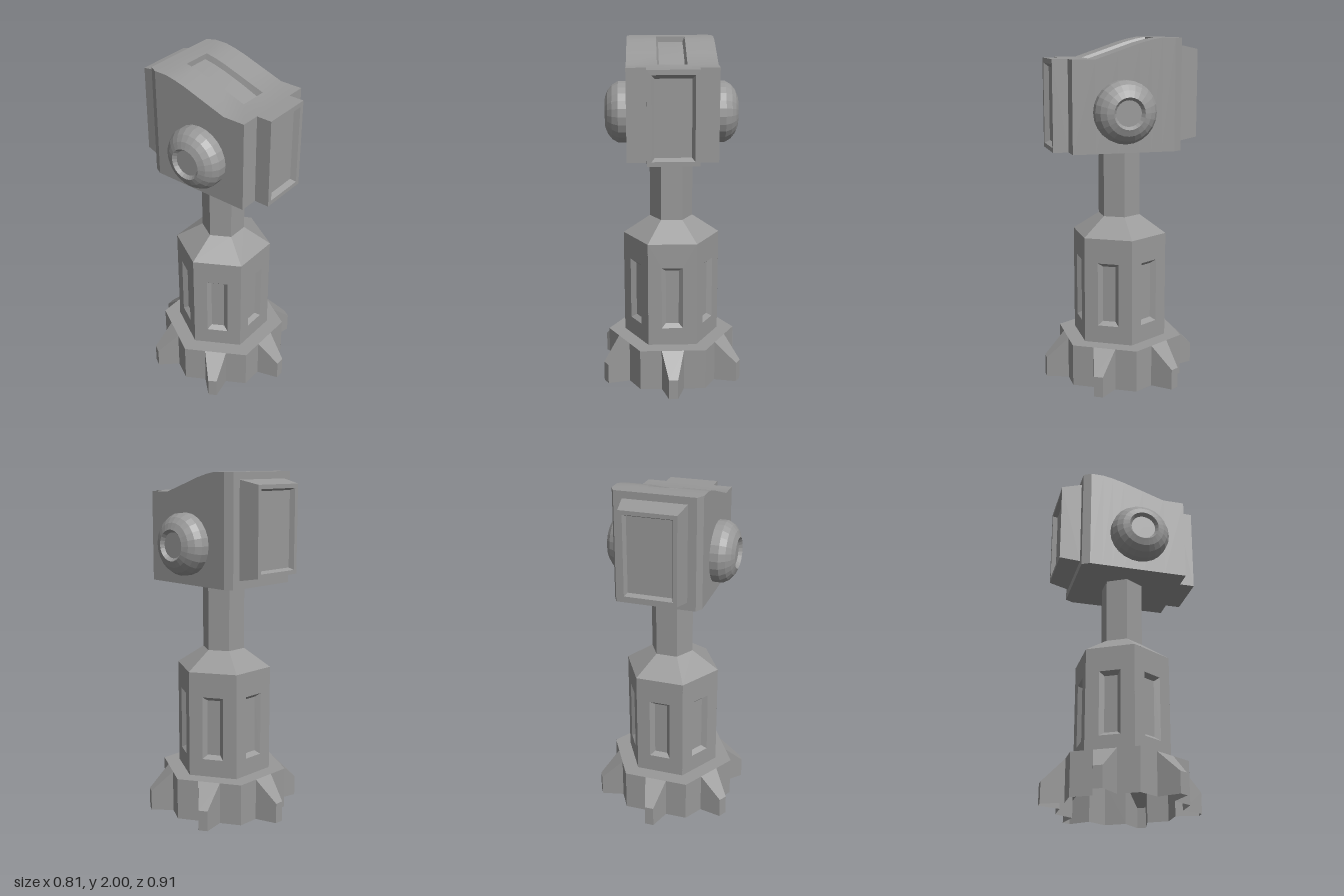
import * as THREE from 'three';
import { toCreasedNormals } from 'three/addons/utils/BufferGeometryUtils.js';

const GREY = 0x999999;
const faceted = new THREE.MeshStandardMaterial({ color: GREY, flatShading: true, side: THREE.DoubleSide });
const creased = new THREE.MeshStandardMaterial({ color: GREY, side: THREE.DoubleSide });

// Mesh from four-cornered faces, corners counter-clockwise from outside
function quadMesh(name, quads) {
  const pos = [];
  for (const [a, b, c, d] of quads) pos.push(...a, ...b, ...c, ...a, ...c, ...d);
  const g = new THREE.BufferGeometry();
  g.setAttribute('position', new THREE.Float32BufferAttribute(pos, 3));
  const mesh = new THREE.Mesh(toCreasedNormals(g, 0.4), creased);
  mesh.name = name;
  return mesh;
}

// Upright rectangle facing +z
const rect = (w, y0, y1, z) => [[-w, y0, z], [w, y0, z], [w, y1, z], [-w, y1, z]];

// Four faces joining one rectangle to the next
const band = (a, b) => a.map((p, i) => {
  const j = (i + 1) % 4;
  return [p, a[j], b[j], b[i]];
});

// Face with a bevelled recess
const recessed = (outer, hole, floor) => [...band(outer, hole), ...band(hole, floor), floor];

// Six turned copies of one sector
function sixfold(name, quads) {
  const group = new THREE.Group();
  group.name = name;
  const first = quadMesh(name + 'Sector', quads);
  for (let i = 0; i < 6; i++) {
    const sector = first.clone();
    sector.rotation.y = i * Math.PI / 3;
    group.add(sector);
  }
  return group;
}

// Open hexagonal skirt with a tapered foot on each side
function makeBase() {
  const H = 0.245, zi = 0.33, zo = 0.455, c = 0.1905, f = 0.065, t = 0.026, ty = 0.12;
  const quads = [
    [[-t, 0, zo], [t, 0, zo], [t, ty, zo], [-t, ty, zo]],
    [[-t, ty, zo], [t, ty, zo], [f, H, zi], [-f, H, zi]],
    [[-c, H, zi], [c, H, zi], [0.1415, H, 0.245], [-0.1415, H, 0.245]],
  ];
  const side = [
    [[f, 0, zi], [c, 0, zi], [c, H, zi], [f, H, zi]],
    [[t, 0, zo], [f, 0, zi], [f, H, zi], [t, ty, zo]],
  ];
  for (const q of side) quads.push(q, q.map(([x, y, z]) => [-x, y, z]).reverse());
  return sixfold('base', quads);
}

// Head shell lofted front to back, with a long recess along the top
function makeHeadShell() {
  const bottom = 1.37, hw = 0.083, fw = 0.071, depth = 0.03;
  const stations = [ // z, half width, top height
    [0.33, 0.252, 1.885], [0.2, 0.252, 1.885], [0.07, 0.252, 1.929], [-0.05, 0.252, 1.97],
    [-0.12, 0.252, 1.989], [-0.18, 0.252, 2], [-0.255, 0.252, 2], [-0.3, 0.228, 2],
  ];
  const quads = [];
  const floorAt = (x, z, y) => [x, y - depth, Math.min(z, 0.18)];
  for (let i = 0; i < stations.length - 1; i++) {
    const [z0, w0, y0] = stations[i], [z1, w1, y1] = stations[i + 1];
    quads.push(
      [[w0, bottom, z0], [w1, bottom, z1], [w1, y1, z1], [w0, y0, z0]],
      [[-w1, bottom, z1], [-w0, bottom, z0], [-w0, y0, z0], [-w1, y1, z1]],
      [[-w1, bottom, z1], [w1, bottom, z1], [w0, bottom, z0], [-w0, bottom, z0]],
    );
    // Top, split either side of the recess
    quads.push(
      [[-w0, y0, z0], [-hw, y0, z0], [-hw, y1, z1], [-w1, y1, z1]],
      [[hw, y0, z0], [w0, y0, z0], [w1, y1, z1], [hw, y1, z1]],
    );
    if (i >= 1 && i <= 4) {
      quads.push(
        [[-hw, y0, z0], floorAt(-fw, z0, y0), floorAt(-fw, z1, y1), [-hw, y1, z1]],
        [floorAt(fw, z0, y0), [hw, y0, z0], [hw, y1, z1], floorAt(fw, z1, y1)],
        [floorAt(-fw, z0, y0), floorAt(fw, z0, y0), floorAt(fw, z1, y1), floorAt(-fw, z1, y1)],
      );
    } else {
      quads.push([[-hw, y0, z0], [hw, y0, z0], [hw, y1, z1], [-hw, y1, z1]]);
    }
  }
  // Recess ends
  quads.push(
    [[-hw, 1.885, 0.2], [hw, 1.885, 0.2], floorAt(fw, 0.2, 1.885), floorAt(-fw, 0.2, 1.885)],
    [floorAt(-fw, -0.18, 2), floorAt(fw, -0.18, 2), [hw, 2, -0.18], [-hw, 2, -0.18]],
  );
  // Front and back walls
  quads.push(rect(0.252, bottom, 1.885, 0.33), rect(0.228, bottom, 2, -0.3).reverse());
  return quadMesh('headShell', quads);
}

// Domed side pod with a dished hub
function makePod(side) {
  const profile = [[0.175, 0], [0.175, 0.05], [0.155, 0.085], [0.125, 0.11], [0.1, 0.12],
    [0.088, 0.125], [0.072, 0.105], [0, 0.105]].map(p => new THREE.Vector2(...p));
  const pod = new THREE.Mesh(new THREE.LatheGeometry(profile, 24), faceted);
  pod.name = side > 0 ? 'leftPod' : 'rightPod';
  pod.rotation.z = -side * Math.PI / 2;
  pod.position.set(side * 0.25, 1.6, 0.04);
  return pod;
}

export function createModel() {
  const model = new THREE.Group();
  model.name = 'pedestalTurret';
  model.add(makeBase());

  // Hexagonal column with a window recess on every side
  model.add(sixfold('column', recessed(
    rect(0.1415, 0.245, 0.87, 0.245), rect(0.062, 0.35, 0.725, 0.245), rect(0.038, 0.372, 0.703, 0.22))));

  // Sloped shoulder and neck
  const hex = (name, rTop, rBottom, y0, y1) => {
    const g = new THREE.CylinderGeometry(rTop, rBottom, y1 - y0, 6, 1, true, Math.PI / 6);
    const mesh = new THREE.Mesh(g, faceted);
    mesh.name = name;
    mesh.position.y = (y0 + y1) / 2;
    model.add(mesh);
  };
  hex('shoulder', 0.125, 0.283, 0.87, 0.975);
  hex('neck', 0.125, 0.125, 0.975, 1.375);

  // Head with front and back panel blocks
  const head = new THREE.Group();
  head.name = 'head';
  head.add(makeHeadShell(), makePod(1), makePod(-1));
  const frontFace = rect(0.143, 1.37, 1.885, 0.418);
  head.add(quadMesh('frontPanel', [
    ...band(rect(0.143, 1.37, 1.885, 0.33), frontFace),
    ...recessed(frontFace, rect(0.117, 1.395, 1.857, 0.418), rect(0.1, 1.412, 1.835, 0.39))]));
  const backFace = rect(0.16, 1.437, 1.935, 0.418);
  const back = quadMesh('backPanel', [
    ...band(rect(0.18, 1.417, 1.96, 0.3), backFace),
    ...recessed(backFace, rect(0.137, 1.46, 1.912, 0.418), rect(0.125, 1.472, 1.9, 0.39))]);
  back.rotation.y = Math.PI;
  head.add(back);
  model.add(head);
  return model;
}
